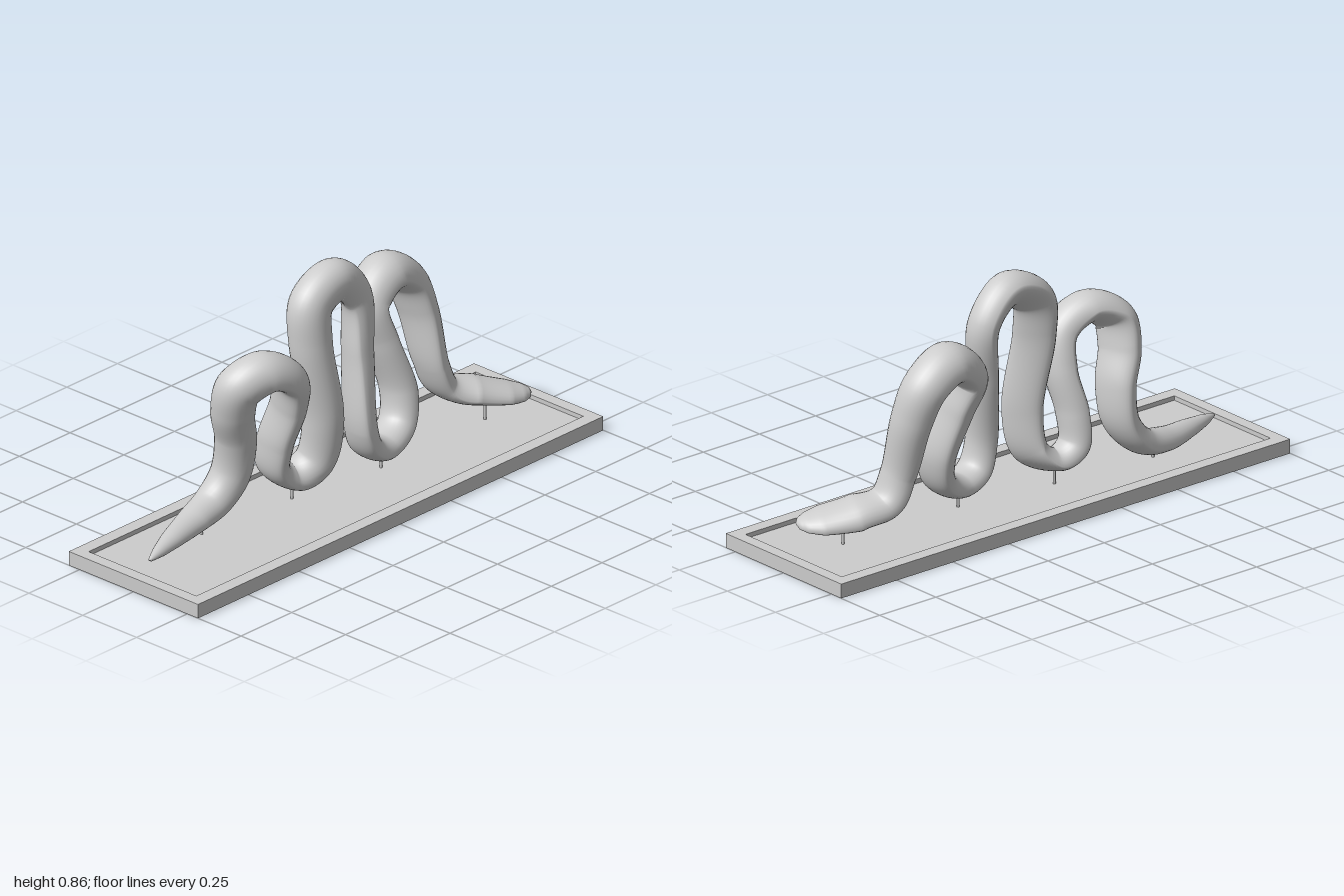
import * as THREE from 'three';

// Body centre line from tail to head: x, y, z, roll (tilts the belly to the front)
const PATH = [
  [-0.90, 0.08, -0.015, 0], [-0.75, 0.09, -0.06, 0], [-0.60, 0.10, -0.10, 0],
  [-0.49, 0.128, -0.115, 0.1], [-0.425, 0.21, -0.10, 0.2], [-0.42, 0.34, -0.08, 0.25],
  [-0.455, 0.46, -0.06, 0.3], [-0.452, 0.565, -0.03, 0.35], [-0.36, 0.612, 0.01, 0.35],
  [-0.255, 0.55, 0.03, 0.3], [-0.225, 0.43, 0, 0.2], [-0.237, 0.28, -0.05, 0.1],
  [-0.225, 0.17, -0.07, 0.1], [-0.16, 0.127, -0.055, 0.2], [-0.09, 0.17, -0.02, 0.4],
  [-0.07, 0.32, 0, 0.5], [-0.097, 0.6, -0.03, 0.6], [-0.075, 0.74, -0.045, 0.7],
  [0.045, 0.797, -0.045, 0.7], [0.145, 0.7, -0.045, 0.6], [0.132, 0.5, -0.02, 0.4],
  [0.108, 0.24, 0.02, 0.2], [0.145, 0.15, 0.015, 0], [0.225, 0.122, 0, 0],
  [0.32, 0.165, -0.025, 0], [0.352, 0.27, -0.05, 0], [0.315, 0.45, -0.1, -0.1],
  [0.295, 0.58, -0.14, -0.1], [0.40, 0.662, -0.155, -0.1], [0.51, 0.6, -0.155, -0.1],
  [0.55, 0.48, -0.13, -0.1], [0.568, 0.28, -0.085, 0], [0.61, 0.185, -0.07, 0],
  [0.70, 0.155, -0.025, 0], [0.80, 0.132, 0.04, 0], [0.872, 0.12, 0.085, 0],
];

// Half width and height at path positions
const SIZES = [
  [0, 0.008, 0.008], [0.4, 0.025, 0.024], [1, 0.042, 0.036], [2, 0.062, 0.052],
  [3, 0.07, 0.066], [5, 0.077, 0.073], [8, 0.085, 0.08], [10, 0.078, 0.072],
  [13, 0.07, 0.056], [16, 0.076, 0.068], [18, 0.078, 0.085], [20, 0.076, 0.07],
  [23, 0.072, 0.053], [26, 0.082, 0.074], [28, 0.096, 0.09], [30, 0.082, 0.073],
  [31, 0.074, 0.064], [32, 0.078, 0.06], [33, 0.098, 0.066], [34, 0.088, 0.048],
  [34.6, 0.062, 0.034], [34.9, 0.034, 0.02], [35, 0.004, 0.004],
];

function sizeAt(s) {
  let k = 0;
  while (k < SIZES.length - 2 && s > SIZES[k + 1][0]) k++;
  const [a, b] = [SIZES[k], SIZES[k + 1]];
  const f = (s - a[0]) / (b[0] - a[0]);
  return [1, 2].map(i => a[i] + (b[i] - a[i]) * f);
}

// Domed back and flatter belly swept along the centre line
function bodyGeometry() {
  const curve = new THREE.CatmullRomCurve3(PATH.map(p => new THREE.Vector3(p[0], p[1], p[2])));
  const last = PATH.length - 1, rings = last * 10, sides = 28, belly = 0.45;
  const Z = new THREE.Vector3(0, 0, 1);
  const pos = [], index = [];
  for (let i = 0; i <= rings; i++) {
    const t = i / rings, s = t * last;
    const k = Math.min(Math.floor(s), last - 1);
    const roll = THREE.MathUtils.lerp(PATH[k][3], PATH[k + 1][3], s - k);
    const [w, h] = sizeAt(s);
    const c = curve.getPoint(t), T = curve.getTangent(t);
    const N = new THREE.Vector3().crossVectors(Z, T).normalize().applyAxisAngle(T, roll);
    const B = new THREE.Vector3().crossVectors(T, N).normalize();
    for (let j = 0; j < sides; j++) {
      const a = (j / sides) * Math.PI * 2, sn = Math.sin(a);
      const up = h * (sn > 0 ? sn : sn * belly) - h * (1 - belly) / 2;
      const p = c.clone().addScaledVector(B, w * Math.cos(a)).addScaledVector(N, up);
      pos.push(p.x, p.y, p.z);
      if (i < rings) {
        const j2 = (j + 1) % sides;
        const p0 = i * sides + j, p1 = p0 + sides, q0 = i * sides + j2, q1 = q0 + sides;
        index.push(p0, p1, q0, p1, q1, q0);
      }
    }
  }
  // End caps
  for (let j = 1; j < sides - 1; j++) {
    const e = rings * sides;
    index.push(0, j, j + 1, e, e + j + 1, e + j);
  }
  const g = new THREE.BufferGeometry();
  g.setAttribute('position', new THREE.Float32BufferAttribute(pos, 3));
  g.setIndex(index);
  g.computeVertexNormals();
  return g;
}

// Four upright walls around a rectangle
function wallLoop(width, depth, y0, y1) {
  const g = new THREE.CylinderGeometry(Math.SQRT1_2, Math.SQRT1_2, y1 - y0, 4, 1, true)
    .rotateY(Math.PI / 4).scale(width, 1, depth).translate(0, (y0 + y1) / 2, 0).toNonIndexed();
  g.computeVertexNormals();
  return g;
}

function rectangle(path, w, d) {
  path.moveTo(-w / 2, -d / 2);
  path.lineTo(w / 2, -d / 2);
  path.lineTo(w / 2, d / 2);
  path.lineTo(-w / 2, d / 2);
  path.closePath();
  return path;
}

export function createModel() {
  const model = new THREE.Group();
  const grey = new THREE.MeshStandardMaterial({ color: 0xcccccc, side: THREE.DoubleSide });
  grey.name = 'light grey';
  const add = (name, geometry, parent = model) => {
    const mesh = new THREE.Mesh(geometry, grey);
    mesh.name = name;
    parent.add(mesh);
    return mesh;
  };

  // Hollow tray open underneath, with a sunken floor
  const top = 0.052, floor = 0.036, inW = 1.91, inD = 0.5;
  const tray = new THREE.Group();
  tray.name = 'tray';
  model.add(tray);
  const rim = rectangle(new THREE.Shape(), 2, 0.6);
  rim.holes.push(rectangle(new THREE.Path(), inW, inD));
  add('trayRim', new THREE.ShapeGeometry(rim).rotateX(-Math.PI / 2).translate(0, top, 0), tray);
  add('trayOuterWalls', wallLoop(2, 0.6, 0, top), tray);
  add('trayInnerWalls', wallLoop(inW, inD, floor, top), tray);
  add('trayFloor', new THREE.PlaneGeometry(inW, inD).rotateX(-Math.PI / 2).translate(0, floor, 0), tray);

  // Serpent
  add('serpentBody', bodyGeometry());

  // Support pins
  const pins = [[-0.57, -0.088, 0.08], [-0.16, -0.054, 0.1], [0.222, 0, 0.1], [0.735, 0, 0.12]];
  for (const [x, z, y] of pins) {
    const h = y - floor + 0.002;
    add('supportPin', new THREE.CylinderGeometry(0.005, 0.005, h, 12)
      .translate(x, y - h / 2, z));
  }
  return model;
}
